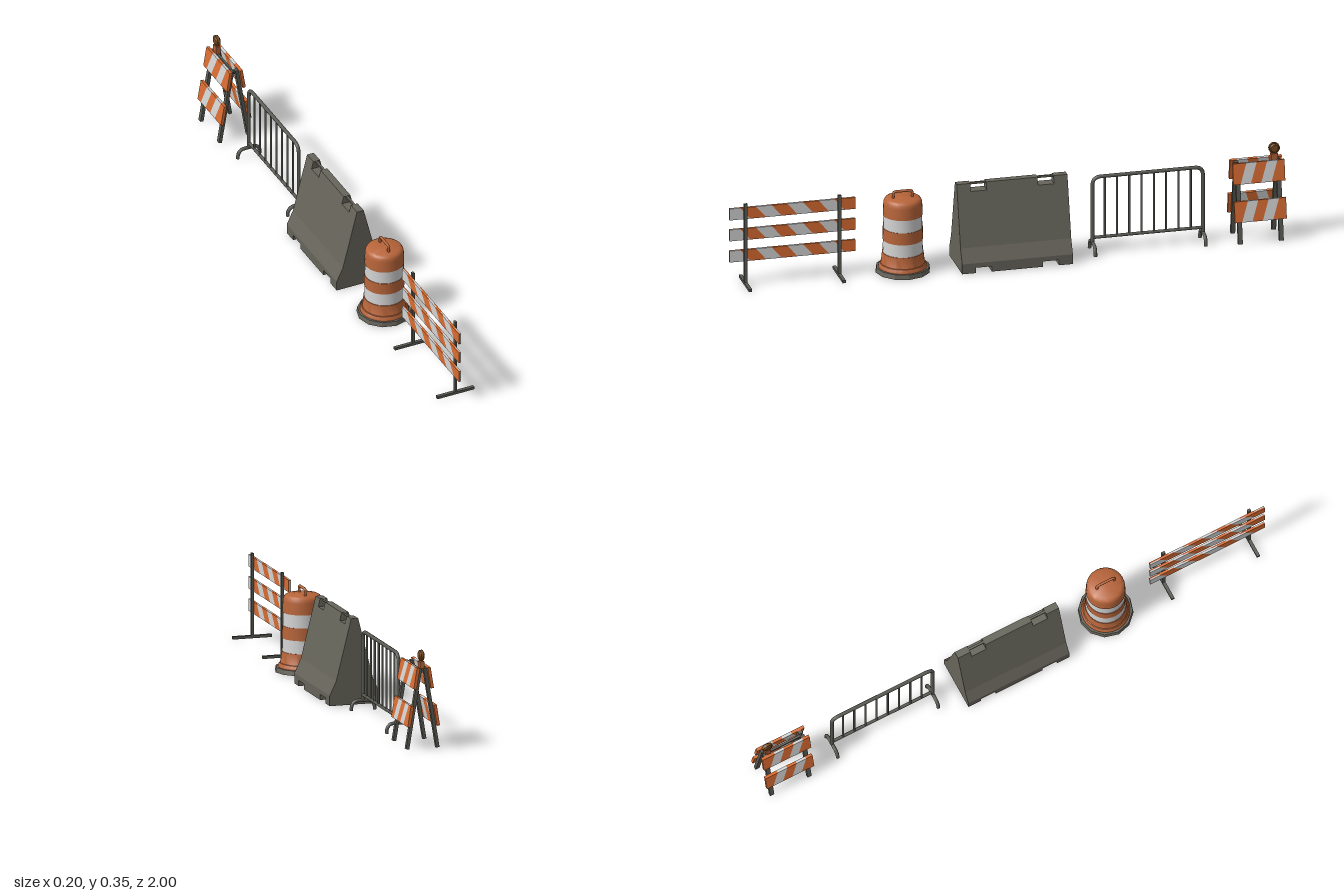
import * as THREE from 'three';
import { toCreasedNormals } from 'three/addons/utils/BufferGeometryUtils.js';

const mat = (name, color) => {
  const m = new THREE.MeshStandardMaterial({ color });
  m.name = name;
  return m;
};

export function createModel() {
  const boardOrange = mat('board orange', 0xd96c32);
  const drumOrange = mat('drum orange', 0xb8653a);
  const white = mat('reflective white', 0xd4d4d4);
  const concrete = mat('concrete grey', 0x66645a);
  const metal = mat('metal grey', 0x5a5a54);
  const lampBrown = mat('lamp amber', 0x7a4c22);

  const root = new THREE.Group();
  root.name = 'roadBarriers';
  const group = (name, parent = root) => {
    const g = new THREE.Group();
    g.name = name;
    parent.add(g);
    return g;
  };
  const add = (parent, name, geo, material, x = 0, y = 0, z = 0) => {
    const m = new THREE.Mesh(geo, material);
    m.name = name;
    m.position.set(x, y, z);
    parent.add(m);
    return m;
  };
  const box = (p, name, m, w, h, d, x, y, z) => add(p, name, new THREE.BoxGeometry(w, h, d), m, x, y, z);
  const v = (x, y, z) => new THREE.Vector3(x, y, z);

  // Board of slanted stripes, running along -z and facing +x
  const stripedBoard = (parent, len, h, t, n, slant, mats) => {
    const board = group('stripedBoard', parent);
    board.rotation.y = Math.PI / 2;
    const edge = (i, s) => -len / 2 + (len * i) / n + (i === 0 || i === n ? 0 : s * slant);
    for (let i = 0; i < n; i++) {
      const shape = new THREE.Shape([
        new THREE.Vector2(edge(i, -1), -h / 2), new THREE.Vector2(edge(i + 1, -1), -h / 2),
        new THREE.Vector2(edge(i + 1, 1), h / 2), new THREE.Vector2(edge(i, 1), h / 2)]);
      add(board, 'stripe', new THREE.ExtrudeGeometry(shape, { depth: t, bevelEnabled: false }), mats[i % 2]);
    }
    return board;
  };

  // Three-plank barricade
  const plankBarricade = group('plankBarricade');
  for (const z of [0.605, 0.944]) {
    box(plankBarricade, 'post', metal, 0.009, 0.3, 0.012, 0, 0.155, z);
    box(plankBarricade, 'foot', metal, 0.144, 0.01, 0.012, 0, 0.005, z);
  }
  for (const y of [0.108, 0.188, 0.267]) {
    const plank = group('plank', plankBarricade);
    plank.position.set(-0.009, y, 0.773);
    for (const turn of [0, Math.PI]) {
      const face = group('plankFace', plank);
      face.rotation.y = turn;
      stripedBoard(face, 0.454, 0.043, 0.0045, 8, -0.018, [white, boardOrange]);
    }
  }

  // Traffic drum
  const drum = group('trafficDrum');
  drum.position.z = 0.376;
  add(drum, 'drumBase', new THREE.CylinderGeometry(0.095, 0.098, 0.017, 12).toNonIndexed(), concrete, 0, 0.0085, 0)
    .geometry.computeVertexNormals();
  const band = (name, m, pts) => add(drum, name, toCreasedNormals(
    new THREE.LatheGeometry(pts.map(([r, y]) => new THREE.Vector2(r, y)), 32), 0.6), m);
  band('drumSkirt', drumOrange, [[0, 0.017], [0.086, 0.017], [0.085, 0.024], [0.08, 0.031], [0.077, 0.032],
    [0.073, 0.073], [0, 0.073]]);
  band('lowerWhiteBand', white, [[0.071, 0.07], [0.0695, 0.122]]);
  band('middleOrangeBand', drumOrange, [[0, 0.12], [0.071, 0.12], [0.0705, 0.165], [0, 0.165]]);
  band('upperWhiteBand', white, [[0.069, 0.163], [0.068, 0.214]]);
  band('drumTop', drumOrange, [[0, 0.212], [0.07, 0.212], [0.0685, 0.252], [0.067, 0.263], [0.0625, 0.271],
    [0.055, 0.275], [0, 0.276]]);
  const handle = new THREE.CatmullRomCurve3([v(0, 0.272, -0.034), v(0, 0.292, -0.034), v(0, 0.298, -0.028),
    v(0, 0.298, 0.028), v(0, 0.292, 0.034), v(0, 0.272, 0.034)], false, 'catmullrom', 0.2);
  add(drum, 'drumHandle', new THREE.TubeGeometry(handle, 24, 0.005, 8), drumOrange);

  // Concrete barrier, sliced along its length to leave lifting slots and drain channels
  const barrier = group('concreteBarrier');
  const profile = [[0.092, 0], [0.092, 0.037], [0.068, 0.088], [0.013, 0.308]];
  const halfWidth = (y) => {
    const i = Math.max(1, profile.findIndex((p) => p[1] >= y));
    const [[w0, y0], [w1, y1]] = [profile[i - 1], profile[i]];
    return w0 + ((w1 - w0) * (y - y0)) / (y1 - y0);
  };
  const cuts = [-0.216, -0.166, -0.108, 0.077, 0.135, 0.184];
  for (let i = 0; i < 5; i++) {
    const [lo, hi] = i % 2 ? [0.02, 0.28] : [0, 0.308];
    const ys = [lo, 0.037, 0.088, hi];
    const side = ys.map((y) => new THREE.Vector2(halfWidth(y), y));
    const mirrored = side.map((p) => new THREE.Vector2(-p.x, p.y)).reverse();
    const depth = cuts[i + 1] - cuts[i];
    add(barrier, 'barrierSection', new THREE.ExtrudeGeometry(new THREE.Shape([...side, ...mirrored]),
      { depth, bevelEnabled: false }), concrete, 0, 0, cuts[i]);
    if (i % 2) box(barrier, 'liftingBar', concrete, 0.008, 0.007, depth, 0, 0.304, cuts[i] + depth / 2);
  }

  // Crowd-control fence
  const fence = group('crowdFence');
  const zA = -0.31, zB = -0.709, top = 0.283, r = 0.03;
  const frame = new THREE.CurvePath();
  frame.add(new THREE.LineCurve3(v(0, 0.035, zA), v(0, top - r, zA)));
  frame.add(new THREE.QuadraticBezierCurve3(v(0, top - r, zA), v(0, top, zA), v(0, top, zA - r)));
  frame.add(new THREE.LineCurve3(v(0, top, zA - r), v(0, top, zB + r)));
  frame.add(new THREE.QuadraticBezierCurve3(v(0, top, zB + r), v(0, top, zB), v(0, top - r, zB)));
  frame.add(new THREE.LineCurve3(v(0, top - r, zB), v(0, 0.035, zB)));
  add(fence, 'fenceFrame', new THREE.TubeGeometry(frame, 120, 0.007, 8), metal);
  const rail = add(fence, 'bottomRail', new THREE.CylinderGeometry(0.006, 0.006, zA - zB, 8), metal, 0, 0.055, (zA + zB) / 2);
  rail.rotation.x = Math.PI / 2;
  for (let i = 1; i < 9; i++) {
    add(fence, 'fenceBar', new THREE.CylinderGeometry(0.004, 0.004, top - 0.055, 8), metal,
      0, (top + 0.055) / 2, zA + ((zB - zA) * i) / 9);
  }
  for (const z of [zA, zB]) {
    const foot = new THREE.CatmullRomCurve3([v(-0.043, 0, z), v(-0.041, 0.018, z), v(-0.03, 0.032, z),
      v(0, 0.035, z), v(0.03, 0.032, z), v(0.041, 0.018, z), v(0.043, 0, z)]);
    add(fence, 'fenceFoot', new THREE.TubeGeometry(foot, 24, 0.0065, 8), metal);
  }

  // Folding A-frame barricade with warning lamp
  const aFrame = group('foldingBarricade');
  aFrame.position.z = -0.904;
  for (const turn of [0, Math.PI]) {
    const half = group('foldingHalf', aFrame);
    half.rotation.y = turn;
    const leaf = group('tiltedLeaf', half);
    leaf.position.x = 0.056;
    leaf.rotation.z = Math.atan(0.165);
    for (const z of [-0.074, 0.074]) box(leaf, 'leg', metal, 0.012, 0.29, 0.016, 0, 0.146, z);
    for (const y of [0.119, 0.256]) {
      const panel = stripedBoard(leaf, 0.187, 0.076, 0.011, 5, 0.012, [boardOrange, white]);
      panel.position.set(0.006, y, 0);
    }
  }
  box(aFrame, 'hingeRod', metal, 0.008, 0.008, 0.15, 0, 0.276, 0);
  box(aFrame, 'lampBase', drumOrange, 0.016, 0.036, 0.024, 0, 0.292, -0.062);
  const lamp = add(aFrame, 'warningLamp', new THREE.CylinderGeometry(0.02, 0.02, 0.01, 20), lampBrown, 0, 0.33, -0.062);
  lamp.rotation.z = Math.PI / 2;
  for (const s of [-1, 1]) {
    const lens = add(aFrame, 'lampLens', new THREE.CylinderGeometry(0.013, 0.017, 0.004, 20), lampBrown, s * 0.007, 0.33, -0.062);
    lens.rotation.z = -s * Math.PI / 2;
  }
  return root;
}
